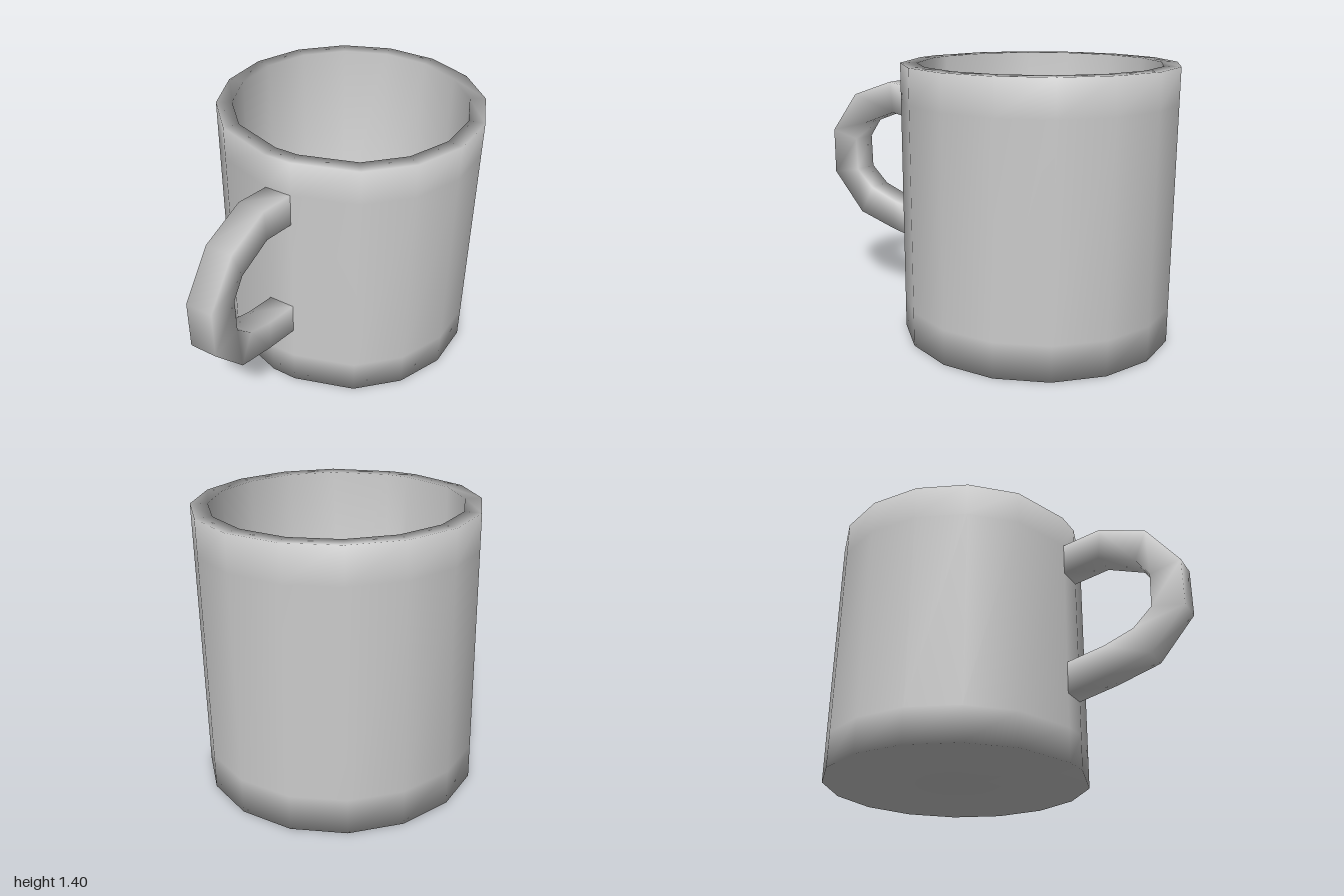
import * as THREE from 'three';
import { mergeVertices } from 'three/addons/utils/BufferGeometryUtils.js';

const SIDES = 16, AXIS_Z = -0.317;

// Skins a sequence of closed cross-sections with smooth normals
function loft(rings) {
  const n = rings[0].length, index = [];
  for (let j = 0; j < rings.length - 1; j++) {
    for (let i = 0; i < n; i++) {
      const a = j * n + i, b = j * n + (i + 1) % n;
      index.push(a, b, b + n, a, b + n, a + n);
    }
  }
  let geometry = new THREE.BufferGeometry().setFromPoints(rings.flat());
  geometry.setIndex(index);
  geometry = mergeVertices(geometry, 1e-4);
  geometry.computeVertexNormals();
  return geometry;
}

// Sixteen-sided ring; the front facet is narrowed to the handle's width
function cupRing(radius, y) {
  return Array.from({ length: SIDES }, (_, i) => {
    const angle = ((i + 0.5) / SIDES) * Math.PI * 2;
    const narrow = i === 0 || i === SIDES - 1 ? 0.52 : 1;
    return new THREE.Vector3(
      radius * Math.sin(angle) * narrow, y, AXIS_Z + radius * Math.cos(angle));
  });
}

export function createModel() {
  const group = new THREE.Group();
  const material = new THREE.MeshStandardMaterial({ color: 0xcccccc });
  const add = (name, geometry) => {
    const mesh = new THREE.Mesh(geometry, material);
    mesh.name = name;
    group.add(mesh);
  };

  // Cup: underside, outer wall, rim, inner wall and floor as one skin
  const outer = 0.698, inner = 0.615;
  const profile = [
    [0, 0], [outer, 0], [outer, 0.18], [outer, 1.22], [outer, 1.4],
    [inner, 1.4], [inner, 0.1], [0, 0.1],
  ];
  add('cup', loft(profile.map(([r, y]) => cupRing(r, y))));

  // Handle: rectangular sections, each given as outer z, y and inner z, y
  const halfWidth = 0.07;
  const sections = [
    [0.367, 1.22, 0.367, 1.05], [0.58, 1.255, 0.565, 1.085],
    [0.83, 1.17, 0.765, 1.01], [1.0, 0.95, 0.835, 0.91],
    [1.0, 0.7, 0.83, 0.73], [0.81, 0.48, 0.73, 0.635],
    [0.58, 0.41, 0.57, 0.575], [0.367, 0.36, 0.367, 0.53],
  ];
  add('handle', loft(sections.map(([zo, yo, zi, yi]) => [
    new THREE.Vector3(halfWidth, yo, zo), new THREE.Vector3(-halfWidth, yo, zo),
    new THREE.Vector3(-halfWidth, yi, zi), new THREE.Vector3(halfWidth, yi, zi),
  ])));

  return group;
}
